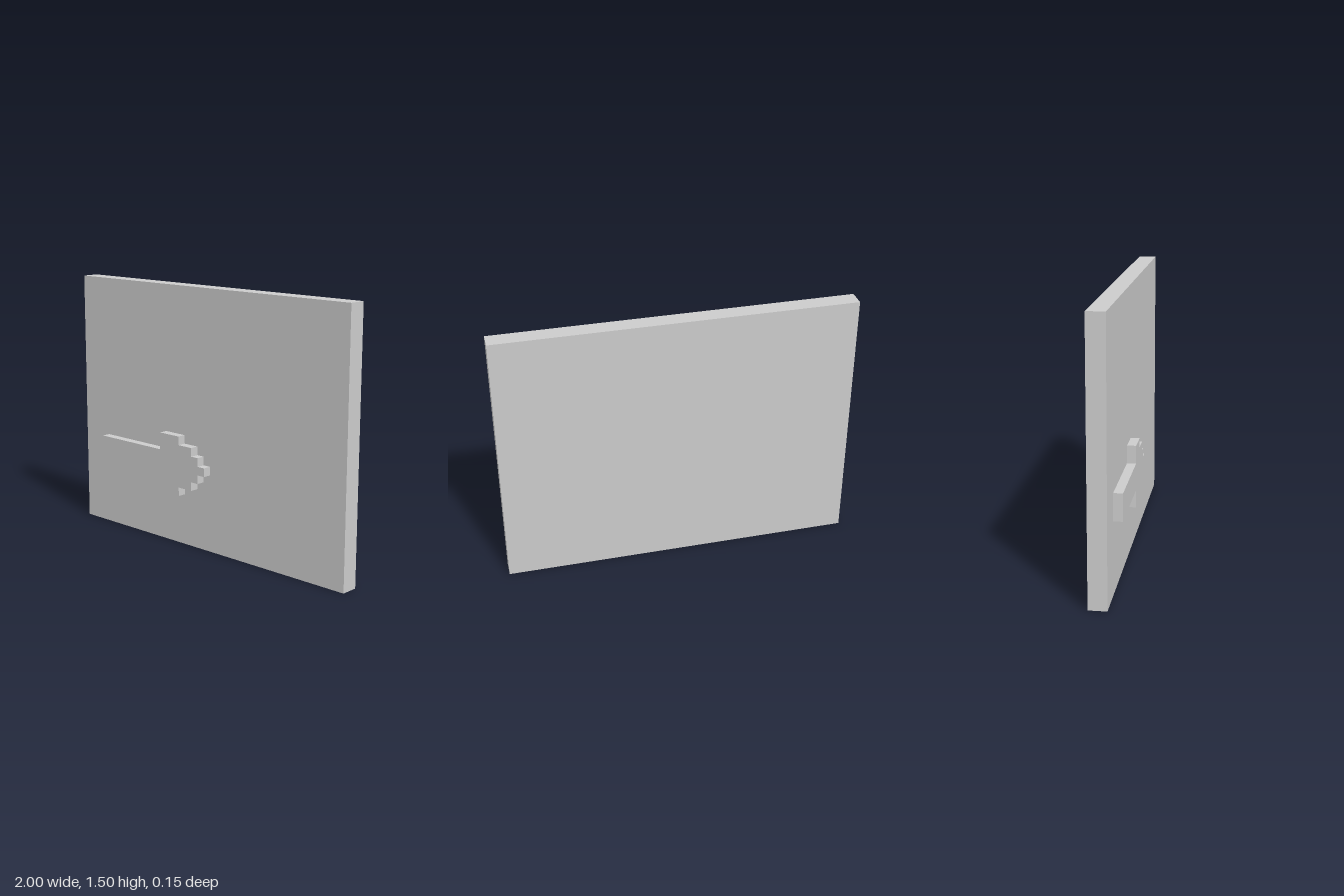
import * as THREE from 'three';

export function createModel() {
  const group = new THREE.Group();
  const material = new THREE.MeshStandardMaterial({ color: 0xcccccc, flatShading: true });

  // Upright board
  const board = new THREE.Mesh(new THREE.BoxGeometry(2, 1.5, 0.1), material);
  board.name = 'board';
  board.position.set(0, 0.75, -0.025);
  group.add(board);

  // Raised stepped arrow: upper outline as [x, half height], mirrored about its axis
  const axisY = 0.475;
  const upper = [
    [-0.8, 0.075], [-0.3, 0.075], [-0.3, 0.175], [-0.15, 0.175], [-0.15, 0.125],
    [-0.05, 0.125], [-0.05, 0.075], [0, 0.075], [0, 0.025], [0.05, 0.025],
  ];
  const lower = upper.map(([x, h]) => new THREE.Vector2(x, axisY - h));
  const top = upper.map(([x, h]) => new THREE.Vector2(x, axisY + h)).reverse();
  const arrow = new THREE.Mesh(
    new THREE.ExtrudeGeometry(new THREE.Shape([...lower, ...top]), { depth: 0.05, bevelEnabled: false }),
    material
  );
  arrow.name = 'arrow';
  arrow.position.z = 0.025;
  group.add(arrow);

  return group;
}
